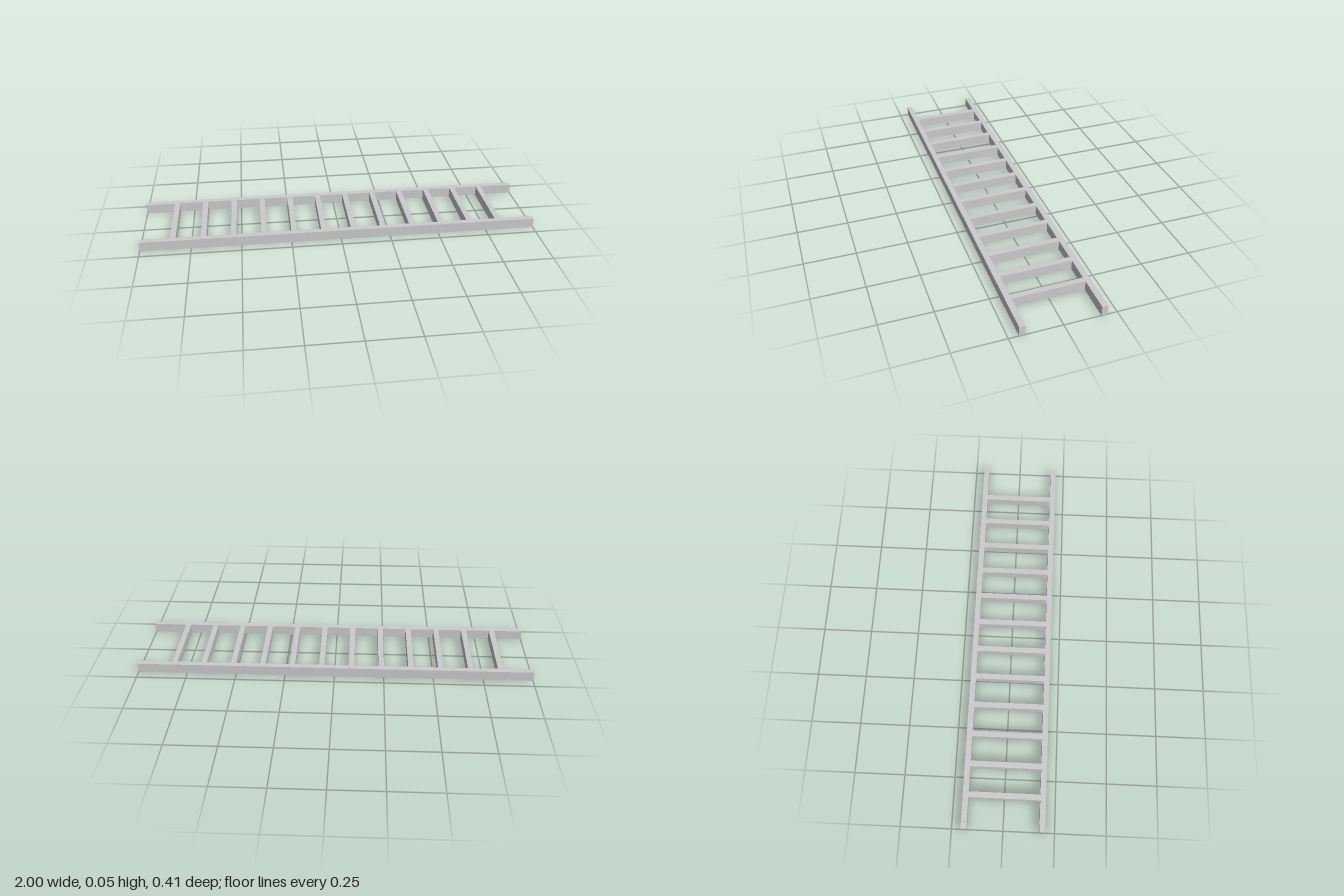
import * as THREE from 'three';

export function createModel() {
  const ladder = new THREE.Group();
  ladder.name = 'ladder';
  const material = new THREE.MeshStandardMaterial({ color: 0xcccccc, flatShading: true });

  const height = 0.05, thickness = 0.028, halfWidth = 0.203;
  const innerWidth = 2 * (halfWidth - thickness);

  function addBeam(name, length, depth, x, z) {
    const beam = new THREE.Mesh(new THREE.BoxGeometry(length, height, depth), material);
    beam.name = name;
    beam.position.set(x, height / 2, z);
    ladder.add(beam);
  }

  // Two long side rails
  addBeam('frontRail', 2, thickness, 0, halfWidth - thickness / 2);
  addBeam('backRail', 2, thickness, 0, -halfWidth + thickness / 2);

  // Twelve evenly spaced rungs, flush with the rails
  const rungCount = 12, firstRung = -0.837, spacing = 0.1502;
  for (let i = 0; i < rungCount; i++) {
    addBeam(`rung${i + 1}`, thickness, innerWidth, firstRung + i * spacing, 0);
  }

  return ladder;
}
